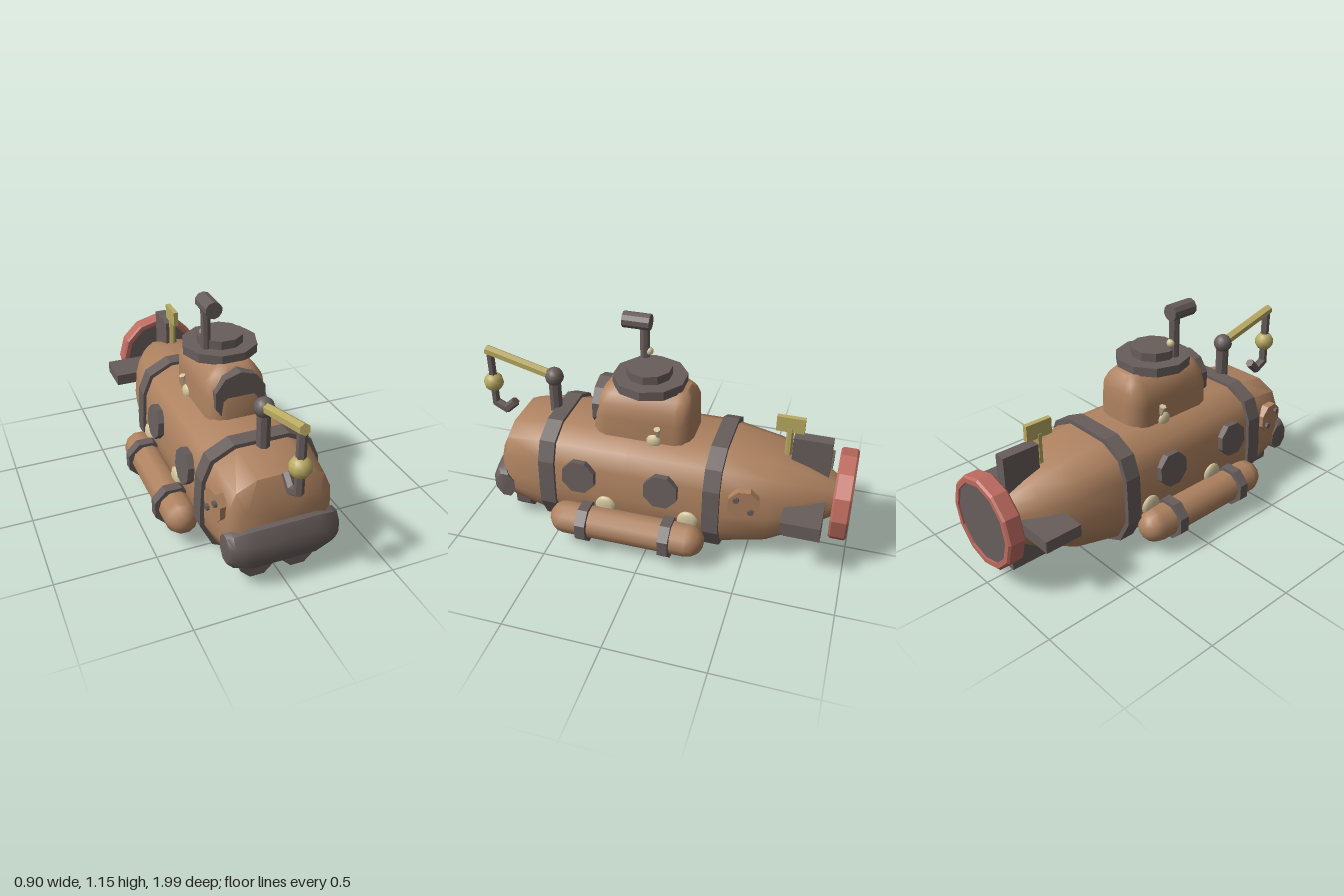
import * as THREE from 'three';
import { toCreasedNormals } from 'three/addons/utils/BufferGeometryUtils.js';

const mat = (name, color) => new THREE.MeshStandardMaterial({ name, color });

// Right half of the hull cross-section, bottom to top, then mirrored
const half = [[0.43, -1], [0.8, -0.82], [1, -0.4], [1, -0.08], [0.97, 0.45], [0.83, 0.8], [0.45, 1]];
const section = [...half, ...half.map(([x, y]) => [-x, y]).reverse()];

// Hull ring at z; round = 1 turns the section into an ellipse
function hullRing(z, w, bottom, top, round = 0) {
  const h = (top - bottom) / 2, cy = (top + bottom) / 2;
  return section.map(([x, y]) => {
    const s = 1 + round * (1 / Math.hypot(x, y) - 1);
    return [x * s * w, cy + y * s * h, z];
  });
}

// Closed skin over rings of equal length, with fan caps
function loft(rings, crease = 0.9) {
  const n = rings[0].length, pos = rings.flat(2), index = [];
  for (let i = 0; i < rings.length - 1; i++) {
    for (let j = 0; j < n; j++) {
      const a = i * n + j, b = i * n + (j + 1) % n;
      index.push(a, b, b + n, a, b + n, a + n);
    }
  }
  [0, rings.length - 1].forEach((r, end) => {
    const c = pos.length / 3;
    for (let k = 0; k < 3; k++) pos.push(rings[r].reduce((s, p) => s + p[k], 0) / n);
    for (let j = 0; j < n; j++) {
      const a = r * n + j, b = r * n + (j + 1) % n;
      index.push(c, end ? a : b, end ? b : a);
    }
  });
  const g = new THREE.BufferGeometry();
  g.setAttribute('position', new THREE.Float32BufferAttribute(pos, 3));
  g.setIndex(index);
  return toCreasedNormals(g, crease);
}

export function createModel() {
  const root = new THREE.Group();
  root.name = 'submarine';
  const copper = mat('copper', 0xae8260);
  const iron = mat('iron', 0x685e5c);
  const red = mat('red', 0xbd6b5f);
  const brass = mat('brass', 0xb9aa62);
  const cream = mat('cream', 0xd2c49c);

  const add = (name, geo, material, x = 0, y = 0, z = 0) => {
    const m = new THREE.Mesh(geo, material);
    m.name = name;
    m.position.set(x, y, z);
    root.add(m);
    return m;
  };
  const cyl = (r, h, n = 8, r2 = r) => toCreasedNormals(new THREE.CylinderGeometry(r2, r, h, n), 0.6);
  const ball = (r) => new THREE.SphereGeometry(r, 10, 8);
  // Rod between two points
  const rod = (name, a, b, r, material, n = 6) => {
    const p = new THREE.Vector3(...a), d = new THREE.Vector3(...b).sub(p);
    const m = add(name, cyl(r, d.length(), n), material);
    m.position.copy(p).addScaledVector(d, 0.5);
    m.quaternion.setFromUnitVectors(new THREE.Vector3(0, 1, 0), d.normalize());
    return m;
  };

  // Hull and its two bands
  add('hull', loft([
    hullRing(-0.92, 0.1, 0.225, 0.43, 1),
    hullRing(-0.88, 0.125, 0.2, 0.455, 1),
    hullRing(-0.765, 0.19, 0.13, 0.505, 0.7),
    hullRing(-0.6, 0.255, 0.065, 0.555, 0.35),
    hullRing(-0.33, 0.29, 0.025, 0.585),
    hullRing(0.12, 0.29, 0.025, 0.585),
    hullRing(0.57, 0.288, 0.028, 0.585),
    hullRing(0.785, 0.26, 0.075, 0.54),
    hullRing(0.83, 0.215, 0.16, 0.44),
  ]), copper);
  for (const z of [0.54, -0.33]) {
    add('hullBand', loft([hullRing(z - 0.042, 0.307, 0.012, 0.602), hullRing(z + 0.042, 0.307, 0.012, 0.602)], 0.3), iron);
  }

  // Wrap-around bumper, lofted along x
  const bumperRing = (x, h, z) => Array.from({ length: 8 }, (_, i) => {
    const a = (i + 0.5) * Math.PI / 4;
    return [x, 0.22 + Math.cos(a) * h * 1.08, z + Math.sin(a) * 0.058];
  });
  add('bumper', loft([
    bumperRing(-0.275, 0.07, 0.8), bumperRing(-0.25, 0.085, 0.82), bumperRing(-0.16, 0.105, 0.838),
    bumperRing(0.16, 0.105, 0.838), bumperRing(0.25, 0.085, 0.82), bumperRing(0.275, 0.07, 0.8),
  ]), iron);

  // Conning tower: rounded rectangles stacked along y
  const towerRing = (y, w, back, front) => {
    const c = Math.min(0.085, w * 0.55), ring = [];
    const corners = [[w - c, back + c], [-w + c, back + c], [-w + c, front - c], [w - c, front - c]];
    corners.forEach(([x, z], q) => {
      for (let k = 0; k < 4; k++) {
        const a = (q + k / 3) * Math.PI / 2;
        ring.push([x + c * Math.cos(a), y, z - c * Math.sin(a)]);
      }
    });
    return ring;
  };
  add('tower', loft([
    towerRing(0.54, 0.155, -0.183, 0.345), towerRing(0.68, 0.154, -0.183, 0.34),
    towerRing(0.75, 0.148, -0.18, 0.32), towerRing(0.8, 0.115, -0.165, 0.295), towerRing(0.835, 0.08, -0.14, 0.26),
  ]), copper);
  const shield = add('towerWindow', cyl(0.135, 0.07, 10), iron, 0, 0.69, 0.3);
  shield.rotation.x = Math.PI / 2;
  add('hatchRim', cyl(0.19, 0.047, 10), iron, 0, 0.852, 0.065).rotation.y = Math.PI / 2;
  add('hatchLid', cyl(0.117, 0.045, 10), iron, 0, 0.897, 0.07).rotation.y = Math.PI / 2;

  // Periscope
  rod('periscopePole', [-0.095, 0.85, 0.122], [-0.095, 1.1, 0.122], 0.026, iron, 8);
  rod('periscopeHead', [-0.095, 1.11, 0.09], [-0.095, 1.11, 0.232], 0.042, iron, 10);
  add('periscopeKnob', ball(0.022), cream, -0.095, 0.95, 0.1);

  // Crane with hanging hook
  rod('cranePost', [0, 0.55, 0.59], [0, 0.76, 0.59], 0.034, iron, 8);
  add('craneJoint', ball(0.05), iron, 0, 0.775, 0.59);
  rod('craneArm', [0, 0.78, 0.6], [0, 0.877, 0.967], 0.027, brass);
  rod('hookLine', [0, 0.87, 0.947], [0, 0.55, 0.947], 0.023, iron);
  add('hookBall', ball(0.053), brass, 0, 0.685, 0.947);
  rod('hookBend', [0, 0.562, 0.952], [0, 0.525, 0.885], 0.025, iron);
  rod('hookTip', [0, 0.52, 0.895], [0, 0.58, 0.83], 0.025, iron);

  for (const s of [-1, 1]) {
    // Side floats with straps
    const float = add('float', new THREE.CapsuleGeometry(0.087, 0.65, 4, 10), copper, s * 0.345, 0.148, 0.096);
    float.rotation.x = Math.PI / 2;
    for (const z of [0.313, -0.125]) {
      const strap = add('floatStrap', cyl(0.108, 0.054, 8), iron, s * 0.35, 0.148, z);
      strap.rotation.set(Math.PI / 2, Math.PI / 8, 0);
    }
    // Portholes, leaning with the hull side
    for (const z of [0.36, -0.075]) {
      const g = cyl(0.092, 0.035, 8).rotateY(Math.PI / 8);
      add('porthole', g, iron, s * 0.298, 0.39, z).rotation.z = -s * (Math.PI / 2 - 0.1);
    }
    // Side lamps
    for (const z of [0.222, -0.215]) {
      add('sideLamp', ball(0.056), cream, s * 0.297, 0.232, z).scale.x = 0.35;
    }
    // Horns beside the tower
    add('hornBase', ball(0.04), cream, s * 0.15, 0.582, 0.003).scale.x = 0.6;
    const horn = add('horn', cyl(0.008, 0.06, 6, 0.018), cream, s * 0.16, 0.638, -0.018);
    horn.rotation.z = -s * 0.3;
    // Feet under the bow
    const foot = add('foot', cyl(0.092, 0.08, 8).rotateY(Math.PI / 8), iron, s * 0.105, 0.085, 0.75);
    foot.rotation.x = Math.PI / 2;
    // Tail plane
    add('tailPlane', new THREE.BoxGeometry(0.3, 0.062, 0.193), iron, s * 0.187, 0.335, -0.776);
  }

  // Bolted service plates, one on each side
  for (const [s, z, turn] of [[1, -0.49, 0.12], [-1, 0.69, 0.1]]) {
    const plate = new THREE.Group();
    plate.name = 'servicePlate';
    plate.position.set(s * 0.272, 0.39, z);
    plate.rotation.y = turn;
    const disc = new THREE.Mesh(cyl(0.082, 0.04, 8).rotateY(Math.PI / 8).rotateZ(Math.PI / 2), copper);
    disc.name = 'plateDisc';
    plate.add(disc);
    for (const k of [-1, 1]) {
      const bolt = new THREE.Mesh(cyl(0.016, 0.02, 8).rotateZ(Math.PI / 2), iron);
      bolt.name = 'plateBolt';
      bolt.position.set(s * 0.024, k * 0.033, k * 0.037);
      plate.add(bolt);
    }
    root.add(plate);
  }

  // Rudder and signal sign
  add('rudder', new THREE.BoxGeometry(0.06, 0.63, 0.193), iron, 0, 0.335, -0.771);
  rod('signPost', [0, 0.53, -0.652], [0, 0.69, -0.652], 0.018, brass);
  add('sign', new THREE.BoxGeometry(0.026, 0.082, 0.14), brass, 0, 0.71, -0.652);

  // Propeller shroud: thick ring with a dark disc inside
  const ringProfile = [[0.2, -0.045], [0.225, -0.045], [0.235, -0.035], [0.235, 0.035], [0.225, 0.045], [0.2, 0.045], [0.2, -0.045]]
    .map(([x, y]) => new THREE.Vector2(x, y));
  const shroud = add('propellerShroud', toCreasedNormals(new THREE.LatheGeometry(ringProfile, 12), 0.3), red, 0, 0.345, -0.951);
  shroud.rotation.x = Math.PI / 2;
  const disc = add('propellerDisc', cyl(0.203, 0.07, 12), iron, 0, 0.345, -0.951);
  disc.rotation.x = Math.PI / 2;

  return root;
}
